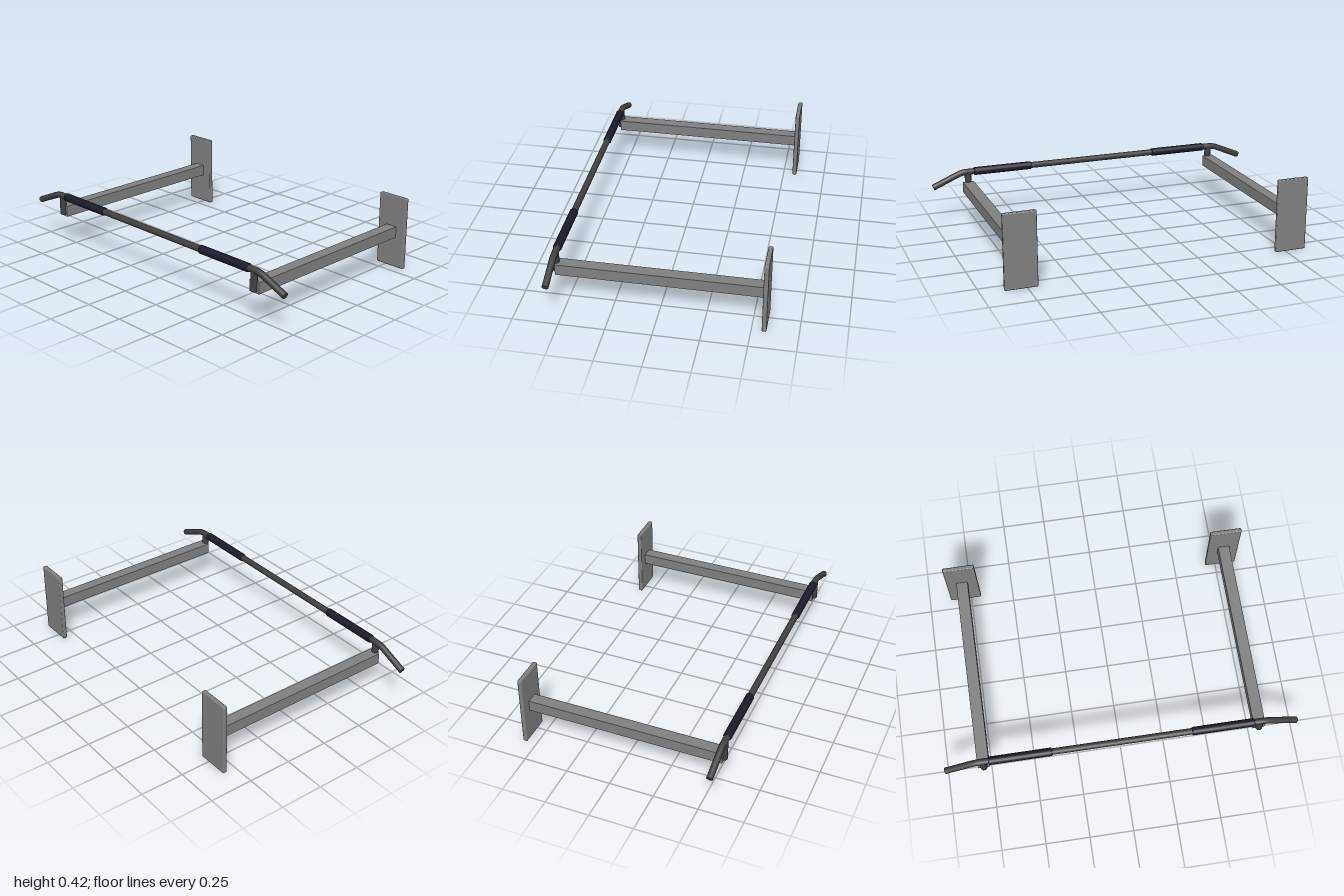
import * as THREE from 'three';
import { RoundedBoxGeometry } from 'three/addons/geometries/RoundedBoxGeometry.js';

const BAR_Y = 0.303, BAR_Z = 0.557, BAR_R = 0.018, SIDE_X = 0.782;

const material = (name, color) => {
  const m = new THREE.MeshStandardMaterial({ color });
  m.name = name;
  return m;
};

export function createModel() {
  const steel = material('grey steel', 0x808080);
  const darkSteel = material('dark bar steel', 0x404040);
  const foam = material('navy grip foam', 0x1a1a2a);
  const model = new THREE.Group();
  model.name = 'pullUpBar';

  const add = (parent, name, geometry, mat, x = 0, y = 0, z = 0) => {
    const mesh = new THREE.Mesh(geometry, mat);
    mesh.name = name;
    mesh.position.set(x, y, z);
    parent.add(mesh);
    return mesh;
  };

  // Straight middle of the bar
  const bendStart = 0.79;
  add(model, 'crossBar', new THREE.CylinderGeometry(BAR_R, BAR_R, bendStart * 2, 24).rotateZ(Math.PI / 2),
    darkSteel, 0, BAR_Y, BAR_Z);

  // Foam sleeve with softened rims
  const half = 0.176, r = 0.0235;
  const sleeve = new THREE.LatheGeometry([
    [BAR_R - 0.002, -half], [r - 0.003, -half], [r, -half + 0.004],
    [r, half - 0.004], [r - 0.003, half], [BAR_R - 0.002, half],
  ].map(([a, b]) => new THREE.Vector2(a, b)), 24).rotateZ(Math.PI / 2);

  for (const s of [1, -1]) {
    const side = new THREE.Group();
    side.name = s > 0 ? 'leftSide' : 'rightSide';
    model.add(side);

    // Wall plate, arm and upright post
    add(side, 'wallPlate', new RoundedBoxGeometry(0.182, 0.42, 0.025, 3, 0.006), steel, s * SIDE_X, 0.21, -0.5675);
    add(side, 'supportArm', new THREE.BoxGeometry(0.066, 0.064, 1.115), steel, s * SIDE_X, 0.211, -0.0005);
    add(side, 'post', new THREE.CylinderGeometry(0.0195, 0.0195, 0.113, 24), darkSteel, s * SIDE_X, 0.2465, BAR_Z);
    add(side, 'foamGrip', sleeve, foam, s * 0.569, BAR_Y, BAR_Z);

    // Down-turned end of the bar
    const point = (x, y) => new THREE.Vector3(s * x, y, BAR_Z);
    const bendEnd = point(0.855, 0.287), tip = point(0.993, 0.228);
    const path = new THREE.CurvePath();
    path.add(new THREE.QuadraticBezierCurve3(point(bendStart, BAR_Y), point(0.818, BAR_Y), bendEnd));
    path.add(new THREE.LineCurve3(bendEnd, tip));
    add(side, 'bentEnd', new THREE.TubeGeometry(path, 24, BAR_R, 24), darkSteel);

    // Flat cap closing the tube
    const cap = add(side, 'endCap', new THREE.CircleGeometry(BAR_R, 24), darkSteel, tip.x, tip.y, tip.z);
    cap.lookAt(tip.clone().multiplyScalar(2).sub(bendEnd));
  }
  return model;
}
